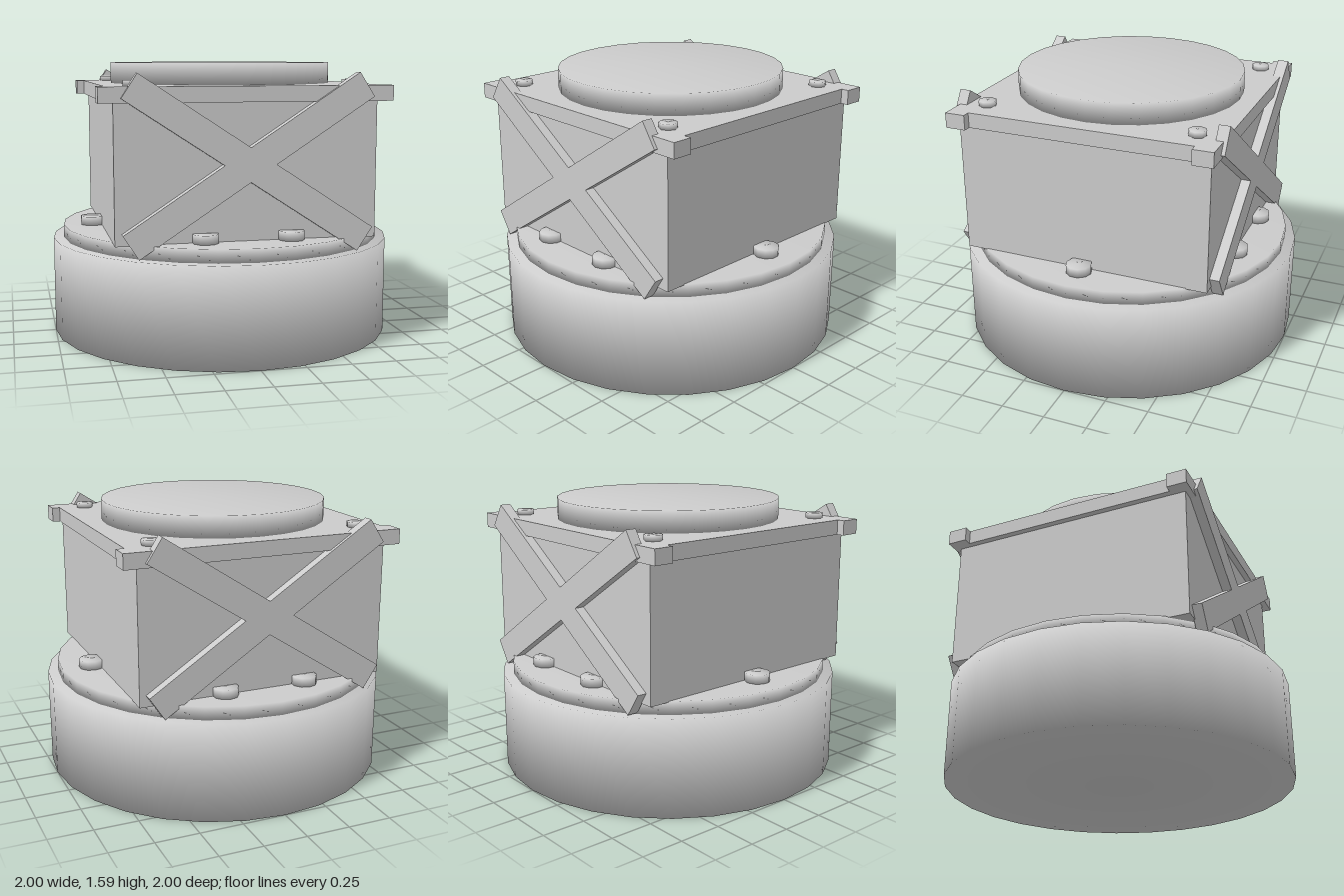
import * as THREE from 'three';

const material = new THREE.MeshStandardMaterial({ color: 0xcccccc });

export function createModel() {
  const model = new THREE.Group();

  const add = (name, geometry, x, y, z) => {
    const mesh = new THREE.Mesh(geometry, material);
    mesh.name = name;
    mesh.position.set(x, y, z);
    model.add(mesh);
    return mesh;
  };

  // Solid disc standing on y = 0, with normals smoothed over the rim
  const disc = (radius, height, sides) => new THREE.LatheGeometry([
    new THREE.Vector2(0, 0),
    new THREE.Vector2(radius, 0),
    new THREE.Vector2(radius, height),
    new THREE.Vector2(0, height),
  ], sides);

  // Round base with a stepped ring
  add('base', disc(1, 0.56, 28), 0, 0, 0);
  add('baseRing', disc(0.94, 0.075, 28), 0, 0.56, 0);

  // Ring of bolts around the foot of the housing
  const baseBolt = disc(0.072, 0.05, 10);
  for (let i = 0; i < 10; i++) {
    const a = (i / 10) * Math.PI * 2;
    add('baseBolt', baseBolt, 0.768 * Math.cos(a), 0.635, 0.768 * Math.sin(a));
  }

  // Square housing and its top plate
  add('housing', new THREE.BoxGeometry(1.44, 0.76, 1.44), 0, 1.01, 0);
  add('topPlate', new THREE.BoxGeometry(1.51, 0.085, 1.51), 0, 1.4225, 0);

  const cornerBlock = new THREE.BoxGeometry(0.16, 0.085, 0.115);
  const plateBolt = disc(0.05, 0.03, 8);
  const brace = new THREE.BoxGeometry(1.534, 0.155, 0.062);
  for (const sz of [-1, 1]) {
    for (const sx of [-1, 1]) {
      // Corner blocks jut out sideways, with a bolt inside each corner
      add('cornerBlock', cornerBlock, sx * 0.72, 1.4225, sz * 0.6975);
      add('plateBolt', plateBolt, sx * 0.605, 1.465, sz * 0.605);
      // Crossed braces on the front and back
      add('crossBrace', brace, 0, 1.05, sz * 0.744).rotation.z = sx * Math.atan2(0.84, 1.284);
    }
  }

  // Low round cap on top
  add('topCap', disc(0.65, 0.12, 28), 0, 1.465, 0);

  return model;
}
